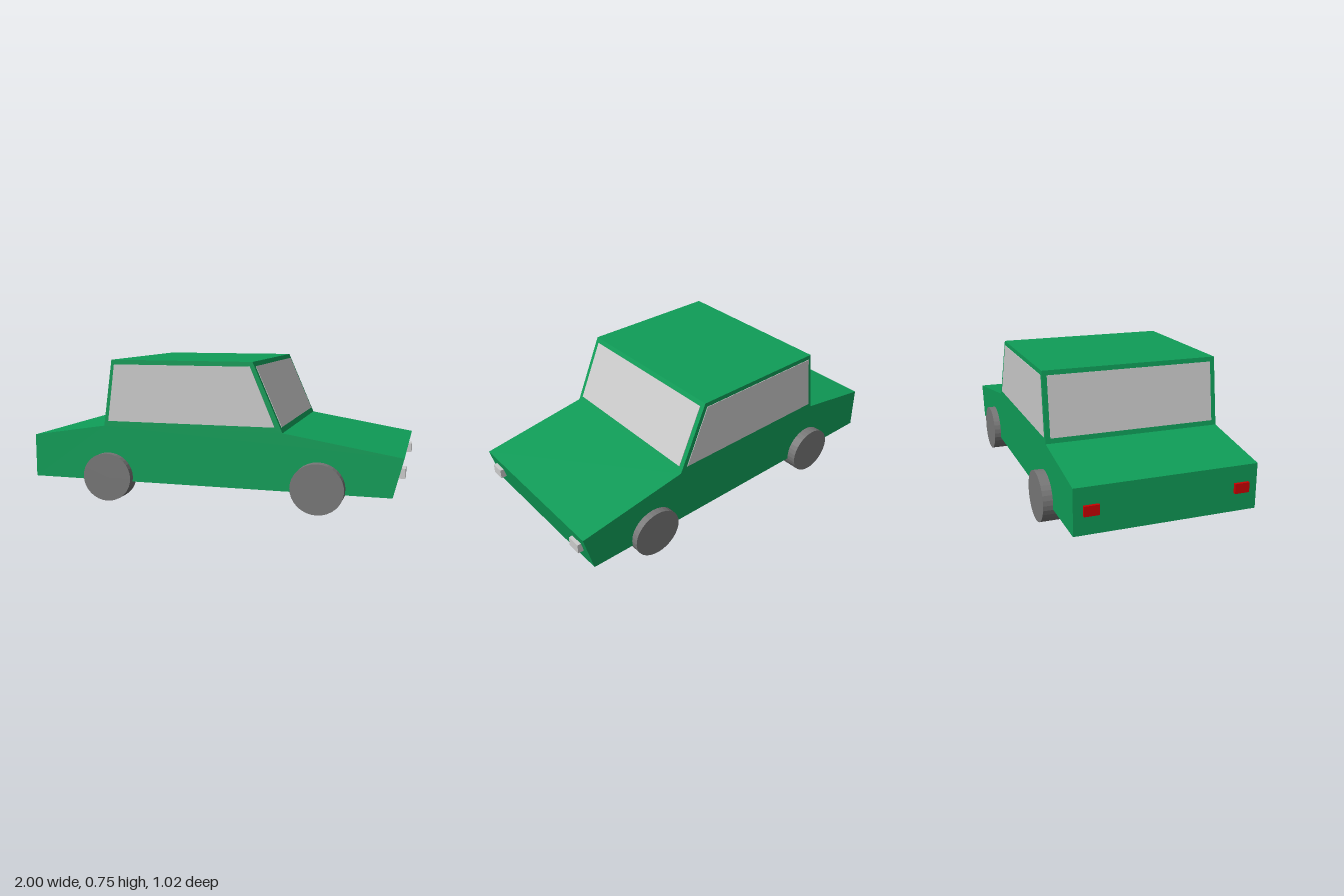
import * as THREE from 'three';

const material = (color) => new THREE.MeshStandardMaterial({ color, flatShading: true });

export function createModel() {
  const car = new THREE.Group();
  car.name = 'car';
  const paint = material(0x0f9d58);
  const glass = material(0xcccccc);
  const rubber = material(0x777777);
  const red = material(0xcc0000);
  const halfWidth = 0.46;

  const add = (name, geometry, mat, x, y, z) => {
    const mesh = new THREE.Mesh(geometry, mat);
    mesh.name = name;
    mesh.position.set(x, y, z);
    car.add(mesh);
    return mesh;
  };

  // Side outline in x and y, extruded along z
  const slab = (points, depth) => new THREE.ExtrudeGeometry(
    new THREE.Shape(points.map(([x, y]) => new THREE.Vector2(x, y))),
    { depth, bevelEnabled: false },
  ).translate(0, 0, -depth / 2);

  // Body: bonnet, cabin and boot in one closed outline
  add('body', slab([
    [-0.985, 0.105], [0.945, 0.105], [0.995, 0.303], [0.4, 0.4],
    [0.245, 0.752], [-0.52, 0.752], [-0.57, 0.4], [-0.985, 0.335],
  ], halfWidth * 2), paint, 0, 0, 0);

  // Side windows, almost flush with the body
  const sideOutline = [[-0.545, 0.427], [0.36, 0.427], [0.232, 0.728], [-0.505, 0.728]];
  for (const side of [1, -1]) {
    add(side > 0 ? 'leftWindow' : 'rightWindow', slab(sideOutline, 0.01), glass,
      0, 0, side * (halfWidth - 0.002));
  }

  // Windscreen and rear window, laid along the cabin slopes
  const slopedPane = (name, [x0, y0], [x1, y1]) => {
    const length = Math.hypot(x1 - x0, y1 - y0);
    const pane = add(name, new THREE.BoxGeometry(0.01, length, 0.87), glass,
      (x0 + x1) / 2, (y0 + y1) / 2, 0);
    pane.rotation.z = Math.atan2(x0 - x1, y1 - y0);
  };
  slopedPane('windscreen', [0.387, 0.425], [0.253, 0.728]);
  slopedPane('rearWindow', [-0.564, 0.425], [-0.521, 0.728]);

  // Lamps
  for (const side of [1, -1]) {
    const prefix = side > 0 ? 'left' : 'right';
    add(prefix + 'Headlight', new THREE.BoxGeometry(0.05, 0.05, 0.075), glass,
      0.975, 0.22, side * 0.376);
    add(prefix + 'TailLight', new THREE.BoxGeometry(0.04, 0.05, 0.075), red,
      -0.98, 0.224, side * 0.376);
  }

  // Wheels, each from its inner to its outer face
  const wheels = [
    ['frontLeftWheel', 0.583, 0.135, 0.413, 0.511],
    ['frontRightWheel', 0.583, 0.135, -0.497, -0.41],
    ['rearLeftWheel', -0.545, 0.128, 0.413, 0.497],
    ['rearRightWheel', -0.545, 0.128, -0.51, -0.41],
  ];
  for (const [name, x, y, z0, z1] of wheels) {
    const geometry = new THREE.CylinderGeometry(1, 1, z1 - z0, 32)
      .rotateX(Math.PI / 2).scale(0.135, 0.128, 1);
    add(name, geometry, rubber, x, y, (z0 + z1) / 2);
  }

  return car;
}
